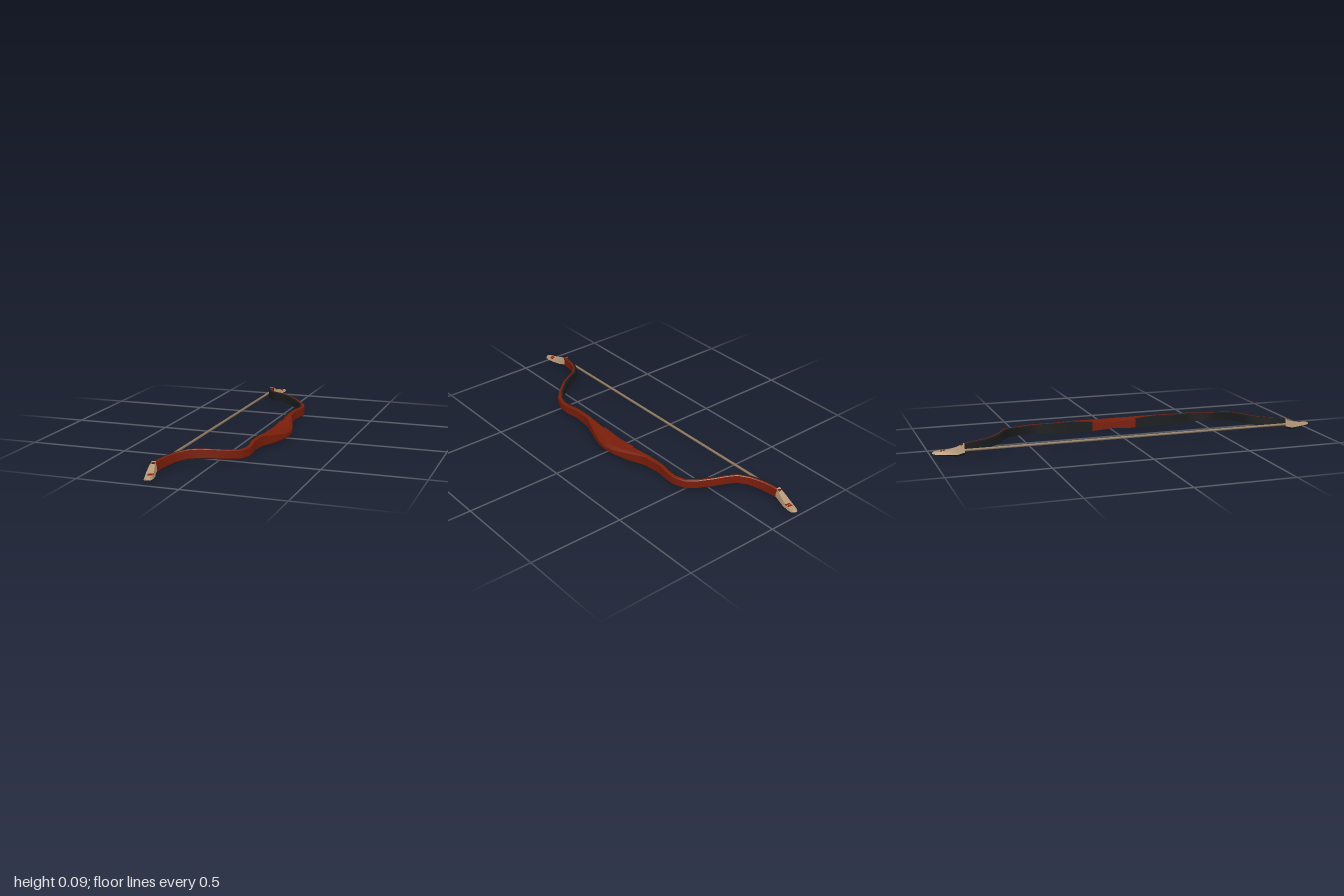
import * as THREE from 'three';
import { toCreasedNormals } from 'three/addons/utils/BufferGeometryUtils.js';

const mat = (name, color) => {
  const m = new THREE.MeshStandardMaterial({ color });
  m.name = name;
  return m;
};

// Skin a list of rings (counter-clockwise seen from the far end) and close both ends.
function loft(rings) {
  const n = rings[0].length, index = [];
  rings.slice(1).forEach((_, i) => {
    for (let k = 0; k < n; k++) {
      const a = i * n + k, b = i * n + (k + 1) % n;
      index.push(a, b, b + n, a, b + n, a + n);
    }
  });
  const last = (rings.length - 1) * n;
  for (let k = 1; k < n - 1; k++) {
    index.push(0, k + 1, k, last, last + k, last + k + 1);
  }
  const g = new THREE.BufferGeometry();
  g.setAttribute('position', new THREE.Float32BufferAttribute(rings.flat(2), 3));
  g.setIndex(index);
  return toCreasedNormals(g, 0.6);
}

// Half of the bow: z, x of the belly face, thickness, bottom y, top y, edge bevel
const HALF = [
  [0, 0.104, 0.095, 0.006, 0.053, 0.015],
  [0.06, 0.103, 0.087, 0.003, 0.055, 0.015],
  [0.12, 0.102, 0.068, 0.002, 0.059, 0.012],
  [0.18, 0.101, 0.047, 0.006, 0.064, 0.008],
  [0.24, 0.098, 0.03, 0.011, 0.068, 0.004],
  [0.34, 0.095, 0.027, 0.015, 0.066, 0.003],
  [0.41, 0.106, 0.028, 0.017, 0.064, 0.003],
  [0.455, 0.107, 0.028, 0.018, 0.063, 0.003],
  [0.505, 0.09, 0.028, 0.02, 0.063, 0.003],
  [0.548, 0.055, 0.025, 0.027, 0.071, 0.003],
  [0.595, 0.0, 0.022, 0.037, 0.082, 0.003],
  [0.625, -0.055, 0.021, 0.041, 0.087, 0.003],
  [0.652, -0.105, 0.021, 0.04, 0.086, 0.003],
  [0.7, -0.146, 0.021, 0.035, 0.081, 0.003],
  [0.76, -0.173, 0.021, 0.028, 0.077, 0.003],
  [0.82, -0.188, 0.021, 0.021, 0.073, 0.003],
  [0.865, -0.193, 0.021, 0.018, 0.067, 0.003],
];

// Nock tip: z, left x, right x, bottom y, top y
const TIP = [
  [0.85, -0.199, -0.168, 0.017, 0.071],
  [0.885, -0.2, -0.16, 0.012, 0.052],
  [0.92, -0.194, -0.147, 0.016, 0.041],
  [0.96, -0.182, -0.137, 0.019, 0.037],
  [0.988, -0.173, -0.138, 0.021, 0.034],
  [1.0, -0.164, -0.149, 0.024, 0.031],
];

export function createModel() {
  const bow = new THREE.Group();
  bow.name = 'recurveBow';
  const red = mat('red lacquer', 0x7a1e0b);
  const dark = mat('dark horn', 0x1b1c1d);
  const bone = mat('pale bone', 0xb59876);
  const cord = mat('string cord', 0x8f795f);
  const markRed = mat('mark red', 0x9c1c10);

  const add = (name, geometry, material, parent = bow) => {
    const mesh = new THREE.Mesh(geometry, material);
    mesh.name = name;
    parent.add(mesh);
    return mesh;
  };

  // Full length stations, mirrored about the grip
  const mirrored = HALF.slice(1).reverse().map(([z, ...rest]) => [-z, ...rest]);
  const stations = [...mirrored, ...HALF];
  const end = stations.length - 1;
  const middle = HALF.length - 1;

  // Loft an outline of (outward offset, y) pairs between two stations
  const layer = (from, to, outline) => {
    const rings = [];
    for (let i = from; i <= to; i++) {
      const [z, x, th, lo, hi, bevel] = stations[i];
      const p = stations[Math.max(i - 1, 0)];
      const q = stations[Math.min(i + 1, end)];
      const normal = new THREE.Vector2(q[0] - p[0], p[1] - q[1]).normalize();
      rings.push(outline(th, lo, hi, bevel).map(([u, y]) =>
        [x + normal.x * u, y, z + normal.y * u]));
    }
    return loft(rings);
  };

  // Inner layer facing the string: dark limbs, red across the grip
  const SEAM = 0.011;
  const belly = (th, lo, hi) => [
    [0, lo + 0.12 * th], [SEAM, lo + 0.1 * th], [SEAM, hi], [0, hi - 0.002]];
  add('gripInside', layer(middle - 2, middle + 2, belly), red);

  // Dark facing under each limb
  const underside = (th, lo) => [
    [0.001, lo + 0.12 * th - 0.002], [th - 0.002, lo - 0.002],
    [th - 0.002, lo + 0.003], [0.001, lo + 0.12 * th + 0.003]];
  for (const [from, to] of [[0, middle - 2], [middle + 2, end]]) {
    add('limbBelly', layer(from, to, belly), dark);
    add('limbUnderside', layer(from, to, underside), dark);
  }

  // Red layer on the outside, swelling into the bevelled grip
  add('backLayerAndGrip', layer(0, end, (th, lo, hi, c) => [
    [SEAM, lo + 0.1 * th], [th - c, lo], [th, lo + c],
    [th, hi - c], [th - c, hi], [SEAM, hi]]), red);

  // Nock tips: bone with a dark underside and red marks on top
  for (const side of [1, -1]) {
    const tip = new THREE.Group();
    tip.name = side > 0 ? 'frontTip' : 'backTip';
    bow.add(tip);
    const rings = (outline) => {
      const list = TIP.map(([z, x0, x1, lo, hi]) =>
        outline(x0, x1, lo, hi, lo + (hi - lo) * 0.22).map(([x, y]) => [x, y, z * side]));
      return side > 0 ? list : list.reverse();
    };
    add('tipBone', loft(rings((x0, x1, lo, hi, m) =>
      [[x0, m], [x1, m], [x1 - 0.005, hi], [x0 + 0.005, hi]])), bone, tip);
    add('tipUnderside', loft(rings((x0, x1, lo, hi, m) =>
      [[x0 + 0.006, lo], [x1 - 0.003, lo], [x1, m], [x0, m]])), dark, tip);
    for (const z of [0.943, 0.956]) {
      const mark = add('tipMark', new THREE.BoxGeometry(0.024, 0.004, 0.009), markRed, tip);
      mark.position.set(-0.157, 0.0375, z * side);
      mark.rotation.y = 0.25 * side;
    }
  }

  // Bowstring
  const string = add('bowstring', new THREE.CylinderGeometry(0.0065, 0.0065, 1.7, 8), cord);
  string.rotation.x = Math.PI / 2;
  string.position.set(-0.195, 0.04, 0);

  return bow;
}
